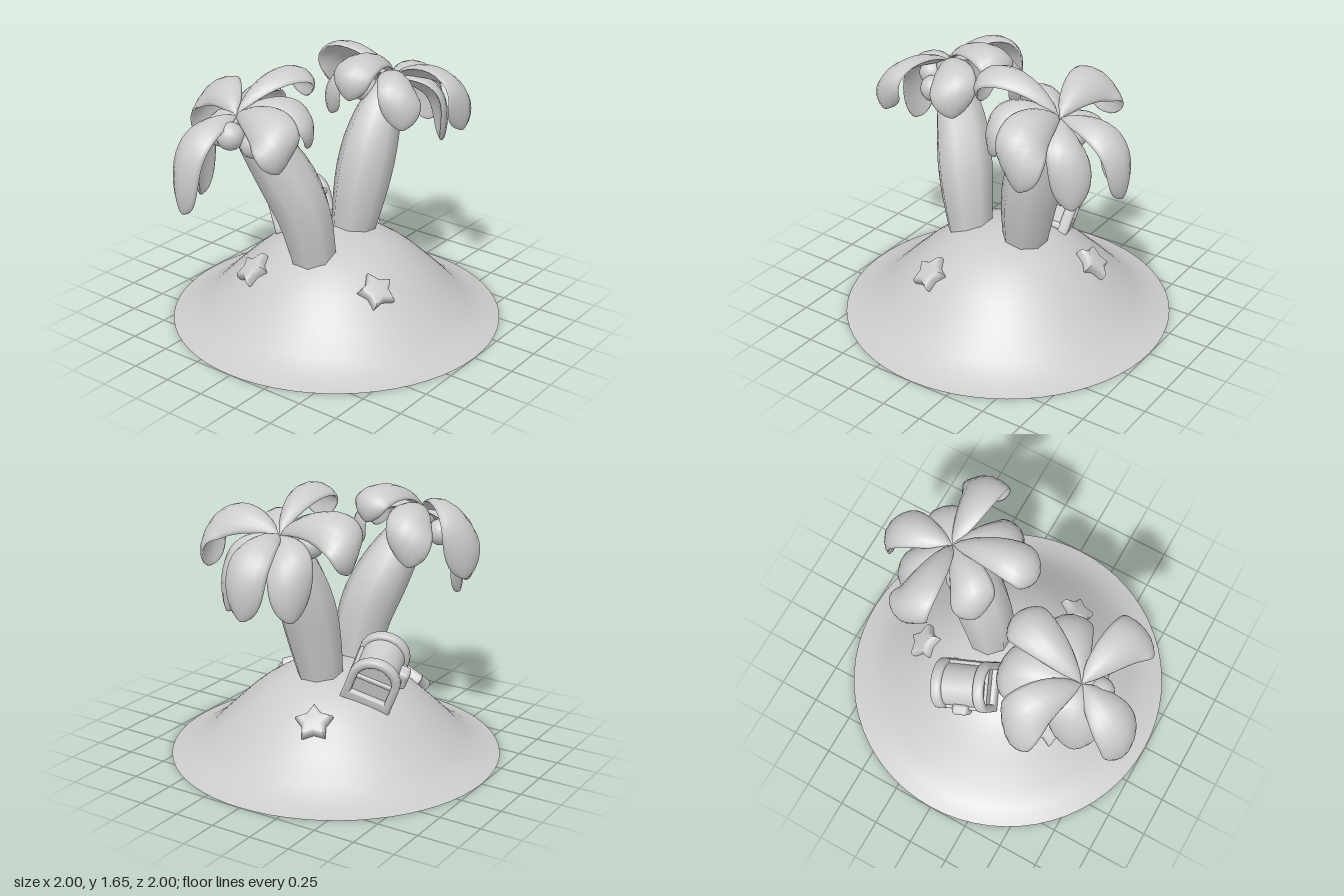
import * as THREE from 'three';
import { toCreasedNormals } from 'three/addons/utils/BufferGeometryUtils.js';
import { RoundedBoxGeometry } from 'three/addons/geometries/RoundedBoxGeometry.js';

const V = (x, y, z) => new THREE.Vector3(x, y, z);
const material = new THREE.MeshStandardMaterial({ color: 0xcccccc });
const openMaterial = new THREE.MeshStandardMaterial({ color: 0xcccccc, side: THREE.DoubleSide });

function addMesh(parent, name, geometry, mat = material) {
  const mesh = new THREE.Mesh(geometry, mat);
  mesh.name = name;
  parent.add(mesh);
  return mesh;
}

// Skin a list of closed rings that each hold the same number of points
function loft(rings) {
  const n = rings[0].length, index = [];
  for (let i = 0; i < rings.length - 1; i++) {
    for (let j = 0; j < n; j++) {
      const k = (j + 1) % n;
      const a = i * n + j, b = i * n + k, c = b + n, d = a + n;
      index.push(a, b, c, a, c, d);
    }
  }
  const geometry = new THREE.BufferGeometry().setFromPoints(rings.flat());
  geometry.setIndex(index);
  geometry.computeVertexNormals();
  return geometry;
}

// Sweep a section along a curve; section(t, angle) gives [sideways, normal] offsets
function sweep(curve, side, steps, sides, ease, section) {
  const rings = [];
  for (let i = 0; i <= steps; i++) {
    const t = ease(i / steps);
    const p = curve.getPoint(t), tangent = curve.getTangent(t);
    const normal = tangent.clone().cross(side).normalize();
    const across = normal.clone().cross(tangent).normalize();
    const ring = [];
    for (let j = 0; j < sides; j++) {
      const [u, v] = section(t, (j / sides) * Math.PI * 2);
      ring.push(p.clone().addScaledVector(across, u).addScaledVector(normal, v));
    }
    rings.push(ring);
  }
  return loft(rings);
}

// Thick cambered leaf: narrow at the crown, wide and blunt at the curled tip
function frondGeometry(crown, lean, degrees, reach, lift, end, width) {
  const a = THREE.MathUtils.degToRad(degrees);
  const dir = V(Math.cos(a), 0, Math.sin(a));
  const at = (r, y) => crown.clone().addScaledVector(dir, reach * r).add(V(0, y, 0));
  const curve = new THREE.CubicBezierCurve3(crown, at(0.35, lift), at(1.2, lift), at(0.97, end));
  const side = lean.clone().cross(dir);
  return sweep(curve, side, 20, 14, u => Math.sin(u * Math.PI / 2), (t, ang) => {
    const grow = Math.pow(Math.sin(Math.min(1, t / 0.65) * Math.PI / 2), 0.8);
    const w = grow * Math.sqrt(Math.max(0, 1 - Math.pow(t, 11)));
    const c = Math.cos(ang), s = Math.sin(ang);
    return [width * w * c, 0.024 * Math.sqrt(w) * s - 0.05 * w * c * c];
  });
}

function palm(name, path, lean, fronds, nuts) {
  const group = new THREE.Group();
  group.name = name;
  const curve = new THREE.CatmullRomCurve3(path);
  const crown = path[path.length - 1];

  // Eight-sided trunk, fullest below the middle, with flat closed ends
  const ease = u => THREE.MathUtils.clamp((u * 14 - 0.99) / 12.03, 0, 1);
  const trunk = sweep(curve, V(0, 0, -1), 14, 8, ease, (t, ang) => {
    const r = t === 0 || t === 1 ? 0 : 0.135 + 0.046 * Math.sin(Math.PI * Math.min(1, t * 1.15)) - 0.05 * t * t;
    return [r * Math.cos(ang + Math.PI / 8), r * Math.sin(ang + Math.PI / 8)];
  });
  addMesh(group, 'trunk', toCreasedNormals(trunk, 0.9));

  for (const frond of fronds) addMesh(group, 'frond', frondGeometry(crown, lean, ...frond));
  for (const p of nuts) {
    addMesh(group, 'coconut', new THREE.SphereGeometry(0.08, 16, 12)).position.copy(p);
  }
  return group;
}

// Round-topped outline
function archShape(half, straight, Path = THREE.Shape, base = 0) {
  const s = new Path();
  s.moveTo(-half, base);
  s.lineTo(half, base);
  s.lineTo(half, straight);
  s.absarc(0, straight, half, 0, Math.PI, false);
  s.lineTo(-half, base);
  return s;
}

function extrudeAlongX(shape, depth, bevel) {
  const g = new THREE.ExtrudeGeometry(shape, {
    depth, bevelEnabled: bevel > 0, bevelSize: bevel, bevelThickness: bevel, bevelSegments: 3, curveSegments: 14,
  });
  g.translate(0, 0, -depth / 2).rotateY(Math.PI / 2);
  return toCreasedNormals(g, 0.75);
}

function chest() {
  const group = new THREE.Group();
  group.name = 'chest';
  addMesh(group, 'chestBody', extrudeAlongX(archShape(0.128, 0.16), 0.27, 0));

  for (const s of [-1, 1]) {
    // Heavy arched frames at both ends
    const frame = archShape(0.135, 0.16);
    frame.holes.push(archShape(0.123, 0.16, THREE.Path, 0.035));
    addMesh(group, 'endFrame', extrudeAlongX(frame, 0.03, 0.018)).position.x = s * 0.134;
    addMesh(group, 'endRail', new RoundedBoxGeometry(0.04, 0.03, 0.25, 2, 0.012)).position.set(s * 0.13, 0.16, 0);
    // Rails along the front and back
    for (const y of [0.02, 0.16]) {
      addMesh(group, 'longRail', new RoundedBoxGeometry(0.27, 0.04, 0.035, 2, 0.014)).position.set(0, y, s * 0.13);
    }
  }
  addMesh(group, 'latch', new RoundedBoxGeometry(0.1, 0.12, 0.07, 3, 0.025)).position.set(0, 0.16, -0.145);

  // Tilted to rest on the slope
  const up = V(0.12, 0.9, -0.42).normalize();
  const out = V(0.92, -0.25, -0.3).cross(up).normalize();
  const along = up.clone().cross(out);
  group.quaternion.setFromRotationMatrix(new THREE.Matrix4().makeBasis(along, up, out));
  group.position.set(0.08, 0.475, -0.295);
  return group;
}

// Puffy five-pointed star
function starGeometry() {
  const points = [];
  for (let i = 0; i < 10; i++) {
    const a = Math.PI / 2 + (i * Math.PI) / 5, r = i % 2 ? 0.045 : 0.08;
    points.push(new THREE.Vector2(r * Math.cos(a), r * Math.sin(a)));
  }
  const g = new THREE.ExtrudeGeometry(new THREE.Shape(points), {
    depth: 0.01, bevelSize: 0.026, bevelThickness: 0.035, bevelSegments: 5,
  });
  return toCreasedNormals(g.translate(0, 0, -0.005), 1);
}

export function createModel() {
  const model = new THREE.Group();
  model.name = 'palmIsland';

  // Open-bottomed sand mound
  const profile = [[1, 0], [0.98, 0.006], [0.89, 0.032], [0.78, 0.1], [0.65, 0.23], [0.53, 0.345],
    [0.45, 0.41], [0.37, 0.463], [0.27, 0.512], [0.14, 0.54], [0, 0.552]];
  addMesh(model, 'island', new THREE.LatheGeometry(profile.map(p => new THREE.Vector2(...p)), 64), openMaterial);

  // Fronds: heading in degrees (0 = +x, 90 = +z), reach, lift, end height, half width
  model.add(palm('leftPalm',
    [V(0.135, 0.51, 0.02), V(0.18, 0.8, 0.05), V(0.245, 1.05, 0.07), V(0.33, 1.27, 0.09), V(0.42, 1.42, 0.11)],
    V(0.55, 0.85, 0),
    [[176, 0.51, 0.28, 0, 0.13], [-86, 0.49, 0.19, -0.14, 0.145], [-3, 0.41, 0.06, -0.39, 0.135],
      [86, 0.48, 0.15, -0.24, 0.145], [138, 0.39, 0.12, -0.2, 0.13], [-138, 0.39, 0.12, -0.2, 0.13],
      [44, 0.31, 0, -0.42, 0.13], [-46, 0.31, 0, -0.42, 0.13]],
    [V(0.28, 1.36, 0.19), V(0.46, 1.3, 0.02), V(0.3, 1.36, -0.02)]));

  model.add(palm('rightPalm',
    [V(-0.255, 0.44, 0.03), V(-0.315, 0.78, -0.01), V(-0.39, 1.02, -0.09), V(-0.5, 1.24, -0.18), V(-0.6, 1.39, -0.25)],
    V(-0.5, 0.85, -0.2),
    [[15, 0.49, 0.26, 0.02, 0.135], [52, 0.41, 0.11, -0.19, 0.14], [111, 0.47, 0.12, -0.19, 0.14],
      [199, 0.37, 0.02, -0.51, 0.14], [-62, 0.46, 0.16, -0.31, 0.145], [-110, 0.23, 0, -0.5, 0.15],
      [-18, 0.45, 0.12, -0.23, 0.14]],
    [V(-0.62, 1.26, -0.11), V(-0.7, 1.31, -0.21), V(-0.61, 1.27, -0.36)]));

  model.add(chest());

  // Starfish lying on the slope
  for (const [x, y, z] of [[-0.24, 0.365, 0.47], [0.5, 0.37, -0.17], [-0.45, 0.365, -0.28]]) {
    const star = addMesh(model, 'starfish', starGeometry());
    star.position.set(x, y, z);
    const r = Math.hypot(x, z);
    star.lookAt(x + (0.65 * x) / r, y + 0.76, z + (0.65 * z) / r);
    star.rotateZ(0.15);
  }
  return model;
}
